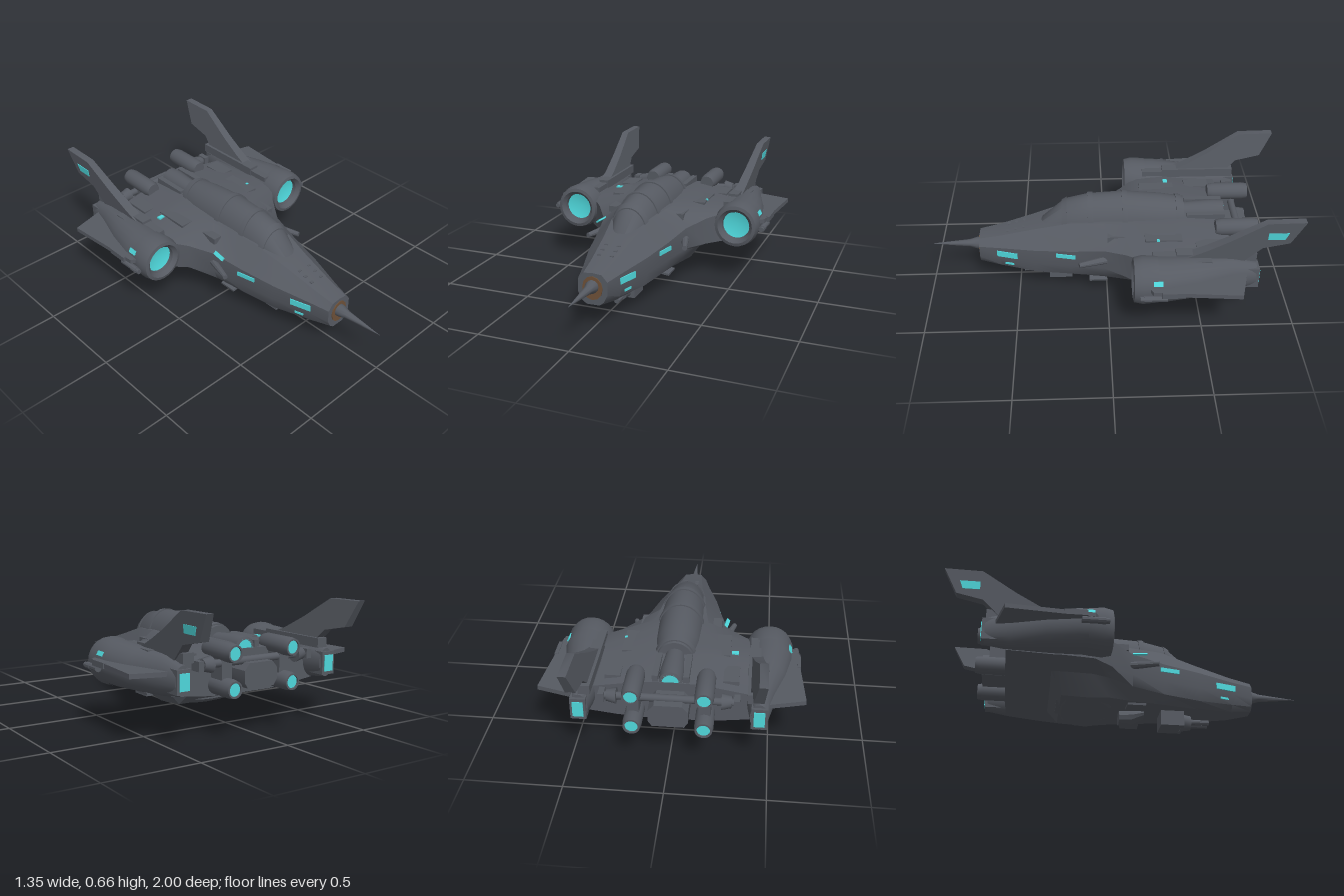
import * as THREE from 'three';
import { toCreasedNormals } from 'three/addons/utils/BufferGeometryUtils.js';

const material = (name, color) => {
  const m = new THREE.MeshStandardMaterial({ color });
  m.name = name;
  return m;
};

// Skin through closed rings [[x, y, z], ...], counterclockwise from the front, running front to back
function loft(rings) {
  const n = rings[0].length, pos = rings.flat(2), idx = [];
  rings.slice(1).forEach((_, r) => {
    for (let i = 0; i < n; i++) {
      const a = r * n + i, b = r * n + (i + 1) % n;
      idx.push(a, a + n, b, b, a + n, b + n);
    }
  });
  const last = (rings.length - 1) * n;
  for (let i = 1; i < n - 1; i++) {
    idx.push(0, i, i + 1);
    idx.push(last, last + i + 1, last + i);
  }
  const g = new THREE.BufferGeometry();
  g.setAttribute('position', new THREE.Float32BufferAttribute(pos, 3));
  g.setIndex(idx);
  return g;
}

const mirrorHalf = (half, z) => [
  ...half.map(([x, y]) => [x, y, z]),
  ...half.slice(1, -1).reverse().map(([x, y]) => [-x, y, z]),
];

const oval = (cx, cy, rx, ry, z, n = 20) => Array.from({ length: n }, (_, i) => {
  const a = i / n * Math.PI * 2;
  return [cx + Math.cos(a) * rx, cy + Math.sin(a) * ry, z];
});

function mirrorX(g) {
  const m = g.clone();
  for (const key of ['position', 'normal']) {
    const at = m.attributes[key];
    for (let i = 0; i < at.count; i += 3) {
      const v = [0, 2, 1].map(k => [-at.getX(i + k), at.getY(i + k), at.getZ(i + k)]);
      v.forEach((p, k) => at.setXYZ(i + k, ...p));
    }
  }
  return m;
}

const box = (w, h, d, x, y, z) => new THREE.BoxGeometry(w, h, d).translate(x, y, z);
// Cylinder along z
const rod = (rFront, rBack, len, x, y, z, n = 16) =>
  new THREE.CylinderGeometry(rFront, rBack, len, n).rotateX(Math.PI / 2).translate(x, y, z);
// Revolved profile of [radius, z]
const turned = (pts, x, y, n = 24) => new THREE.LatheGeometry(pts.map(p => new THREE.Vector2(...p)), n)
  .rotateX(Math.PI / 2).translate(x, y, 0);
const extrude = (pts, depth) => new THREE.ExtrudeGeometry(
  new THREE.Shape(pts.map(p => new THREE.Vector2(...p))), { depth, bevelEnabled: false });

// z, belly y, belly x, chine y, chine x, wing underside y, wing x, wing top y, deck y, deck x
const HULL = [
  [0.72, 0.12, 0.035, 0.14, 0.06, 0.18, 0.08, 0.25, 0.285, 0.05],
  [0.6, 0.10, 0.06, 0.13, 0.095, 0.19, 0.11, 0.26, 0.31, 0.06],
  [0.4, 0.09, 0.10, 0.12, 0.15, 0.19, 0.168, 0.28, 0.365, 0.08],
  [0.2, 0.09, 0.14, 0.13, 0.19, 0.20, 0.21, 0.30, 0.42, 0.11],
  [0.02, 0.09, 0.17, 0.15, 0.23, 0.21, 0.25, 0.33, 0.43, 0.13],
  [-0.1, 0.09, 0.20, 0.175, 0.265, 0.21, 0.33, 0.36, 0.43, 0.15],
  [-0.2, 0.08, 0.21, 0.185, 0.285, 0.21, 0.42, 0.38, 0.43, 0.16],
  [-0.36, 0.09, 0.20, 0.19, 0.285, 0.21, 0.44, 0.39, 0.43, 0.17],
  [-0.42, 0.15, 0.18, 0.19, 0.28, 0.21, 0.44, 0.38, 0.43, 0.17],
  [-0.66, 0.19, 0.15, 0.20, 0.28, 0.22, 0.44, 0.36, 0.41, 0.15],
];
// z, half width, base y, top y
const CANOPY = [
  [0.37, 0.06, 0.33, 0.375], [0.23, 0.105, 0.36, 0.5], [0.1, 0.12, 0.36, 0.53],
  [-0.1, 0.125, 0.38, 0.54], [-0.3, 0.12, 0.38, 0.52], [-0.43, 0.1, 0.38, 0.5],
];

function sample(table, z) {
  let i = 1;
  while (i < table.length - 1 && table[i][0] > z) i++;
  const a = table[i - 1], b = table[i], t = (z - a[0]) / (b[0] - a[0]);
  return a.map((v, k) => v + (b[k] - v) * t);
}

function canopyRing([z, w, base, top], grow = 0) {
  const half = [[0, base - 0.03], [w + grow, base - 0.03]];
  for (let i = 0; i <= 8; i++) {
    const a = i / 8 * Math.PI / 2;
    half.push([i === 8 ? 0 : Math.cos(a) * (w + grow), base + Math.sin(a) * (top + grow - base)]);
  }
  return mirrorHalf(half, z);
}

// Swept fin slab of [z, y] points, leaning outward and thinning with height
function finSlab(pts, thick) {
  const g = extrude(pts.map(([z, y]) => [-z, y]), thick).translate(0, 0, -thick / 2).rotateY(Math.PI / 2);
  const p = g.attributes.position;
  for (let i = 0; i < p.count; i++) {
    const h = p.getY(i) - 0.42;
    p.setX(i, p.getX(i) * (1 - h * 1.3) + 0.425 + h * 0.13);
  }
  return g;
}

export function createModel() {
  const model = new THREE.Group();
  const metal = material('gunmetal', 0x565a62);
  const glow = material('cyanGlow', 0x4fd8dc);
  const bronze = material('bronze', 0x6e5138);

  const add = (name, geo, mat = metal, crease = 0.6) => {
    const mesh = new THREE.Mesh(toCreasedNormals(geo, crease), mat);
    mesh.name = name;
    model.add(mesh);
    return mesh;
  };
  const pair = (name, geo, mat = metal, crease = 0.6) => {
    const left = add(name + 'Left', geo, mat, crease);
    const right = new THREE.Mesh(mirrorX(left.geometry), mat);
    right.name = name + 'Right';
    model.add(right);
  };

  // Fuselage with blended wing roots
  add('hull', loft(HULL.map(([z, by, bx, cy, cx, wy, wx, uy, dy, dx]) =>
    mirrorHalf([[0, by], [bx, by], [cx, cy], [wx, wy], [wx, uy], [dx, dy], [0, dy + 0.005]], z))));

  // Canopy with raised frames
  add('canopy', loft(CANOPY.map(s => canopyRing(s))), metal, 0.9);
  for (const z of [0.235, 0.09, -0.1, -0.4])
    add('canopyFrame', loft([z + 0.015, z - 0.015].map(q => canopyRing(sample(CANOPY, q), 0.007))));

  // Dorsal engine behind the canopy
  add('dorsalEngine', turned([[0.038, -0.635], [0.042, -0.66], [0.058, -0.655], [0.062, -0.6], [0.05, -0.42]], 0, 0.415));
  add('dorsalGlow', rod(0.046, 0.046, 0.008, 0, 0.415, -0.655), glow);
  pair('dorsalRail', box(0.03, 0.045, 0.21, 0.078, 0.425, -0.55));

  // Nose plate and probe
  add('nosePlate', rod(0.055, 0.055, 0.008, 0, 0, 0.721, 12).scale(1, 1.15, 1).translate(0, 0.21, 0), bronze);
  add('noseProbe', turned([[0.036, 0.7], [0.034, 0.74], [0.022, 0.78], [0.012, 0.88], [0, 1.0]], 0, 0.22, 12));

  // Light strips lying on the hull sides: z, y, height, length, inset
  for (const [z, y, h, len, inset] of [[0.56, 0.222, 0.035, 0.12, 0], [0.23, 0.265, 0.024, 0.11, 0],
    [0.55, 0.157, 0.012, 0.05, 0.008]]) {
    const a = sample(HULL, z + 0.03)[6], b = sample(HULL, z - 0.03)[6];
    pair('sideLight', new THREE.BoxGeometry(0.009, h, len).rotateY(Math.atan2(a - b, 0.06))
      .translate(sample(HULL, z)[6] + 0.001 - inset, y, z), glow);
  }
  add('deckLight', box(0.035, 0.009, 0.025, -0.31, 0.412, -0.36), glow);
  add('deckSpot', box(0.014, 0.009, 0.014, 0.28, 0.418, -0.27), glow);
  add('shoulderLight', new THREE.BoxGeometry(0.022, 0.009, 0.08).rotateZ(0.7).rotateY(-0.15)
    .translate(-0.247, 0.335, 0.06), glow);

  // Nacelles with open intakes
  const nx = 0.49, ny = 0.325;
  pair('intakeRing', turned([[0.122, -0.25], [0.128, -0.17], [0.118, -0.125], [0.1, -0.12],
    [0.08, -0.14], [0.075, -0.19]], nx, ny));
  pair('intakeGlow', turned([[0.08, -0.162], [0, -0.182]], nx, ny), glow);
  pair('nacelle', loft([[nx, ny, 0.12, 0.12, -0.19], [0.487, ny, 0.125, 0.118, -0.3], [0.47, 0.322, 0.108, 0.11, -0.46],
    [0.45, 0.32, 0.07, 0.1, -0.64], [0.445, 0.315, 0.045, 0.075, -0.77]]
    .map(([x, y, rx, ry, z]) => oval(x, y, rx, ry, z))), metal, 0.8);
  pair('nacelleExhaust', box(0.08, 0.12, 0.1, 0.447, 0.313, -0.735));
  pair('exhaustGlow', box(0.055, 0.085, 0.008, 0.447, 0.313, -0.786), glow);
  pair('nacelleLight', new THREE.BoxGeometry(0.008, 0.025, 0.05).rotateZ(0.5).translate(0.6, 0.382, -0.245), glow);
  pair('nacelleFairing', box(0.1, 0.03, 0.3, 0.44, 0.415, -0.38));

  // Outer winglets with slim guns
  const plate = [[0.5, -0.3], [0.6, -0.2], [0.637, -0.22], [0.675, -0.67], [0.45, -0.73]];
  pair('winglet', extrude(plate.map(([x, z]) => [x, -z]).reverse(), 0.024)
    .rotateX(-Math.PI / 2).translate(0, 0.333, 0));
  pair('wingletGun', rod(0.014, 0.018, 0.14, 0.635, 0.315, -0.22, 10));
  pair('wingletMuzzle', rod(0.018, 0.018, 0.04, 0.635, 0.315, -0.19, 10));
  pair('wingletTip', box(0.02, 0.03, 0.12, 0.645, 0.345, -0.32));

  // Tail fins with a light on the outer face
  pair('tailFin', finSlab([[-0.36, 0.41], [-0.5, 0.475], [-0.62, 0.54], [-0.8, 0.652], [-0.998, 0.655],
    [-0.93, 0.52], [-0.79, 0.49], [-0.7, 0.4]], 0.058));
  pair('finLight', finSlab([[-0.81, 0.59], [-0.915, 0.59], [-0.9, 0.547], [-0.81, 0.547]], 0.008)
    .translate(0.0228, 0, 0), glow);
  pair('finRoot', box(0.06, 0.05, 0.42, 0.415, 0.42, -0.56));

  // Four thrusters carried on a cross shaft
  for (const y of [0.425, 0.25]) {
    pair('thruster', turned([[0.032, -0.79], [0.034, -0.82], [0.043, -0.82], [0.048, -0.79], [0.048, -0.62],
      [0.04, -0.59], [0, -0.59]], 0.178, y, 18));
    pair('thrusterGlow', rod(0.036, 0.036, 0.008, 0.178, y, -0.808), glow);
  }
  pair('thrusterPylon', box(0.06, 0.14, 0.12, 0.178, 0.335, -0.69));
  add('engineBlock', loft([-0.64, -0.79].map(z =>
    mirrorHalf([[0, 0.24], [0.08, 0.24], [0.1, 0.27], [0.1, 0.33], [0.07, 0.365], [0, 0.365]], z))));
  add('crossShaft', new THREE.CylinderGeometry(0.02, 0.02, 0.66, 12).rotateZ(Math.PI / 2).translate(0, 0.37, -0.73));
  pair('shaftKnob', new THREE.CylinderGeometry(0.042, 0.03, 0.05, 12).rotateZ(Math.PI / 2).translate(0.285, 0.37, -0.73));
  pair('shaftEnd', box(0.03, 0.05, 0.06, 0.335, 0.37, -0.73));

  // Deck panels and vents
  pair('deckPanel', box(0.1, 0.03, 0.2, 0.235, 0.405, -0.3));
  pair('rearDeckPanel', box(0.08, 0.03, 0.14, 0.3, 0.39, -0.54));
  pair('shoulderVent', box(0.05, 0.035, 0.1, 0.2, 0.385, -0.05));
  for (let i = 0; i < 3; i++) pair('noseVent', box(0.02, 0.012, 0.025, 0.035, 0.345 - i * 0.012, 0.46 + i * 0.045));

  // Cheek guns beside the wing roots
  pair('cheekGun', rod(0.014, 0.022, 0.16, 0, 0, 0, 10).rotateY(0.3).translate(0.265, 0.265, 0.08));

  // Belly turret, rear pod and keel blades
  add('bellyTurret', box(0.13, 0.09, 0.13, 0, 0.05, 0.265));
  add('bellyTurretDrum', rod(0.04, 0.05, 0.06, 0, 0.045, 0.345, 12));
  pair('bellyBarrel', rod(0.015, 0.017, 0.14, 0.022, 0.042, 0.405, 10));
  add('bellyPod', loft([[0.08, 0.04, 0.02, 0.11], [0.06, 0.05, 0.04, 0.04], [0.055, 0.05, 0.04, -0.03]]
    .map(([y, rx, ry, z]) => oval(0, y, rx, ry, z, 10))));
  pair('keelBlade', box(0.12, 0.012, 0.1, 0, 0, 0).rotateZ(-0.12).translate(0.12, 0.078, 0.05));
  add('bellyFairing', loft([[0.1, 0.1, 0.02, -0.08], [0.17, 0.1, 0.028, -0.14], [0.17, 0.1, 0.026, -0.33],
    [0.13, 0.12, 0.02, -0.38]].map(([rx, y, ry, z]) => oval(0, y, rx, ry, z, 12))));

  return model;
}
